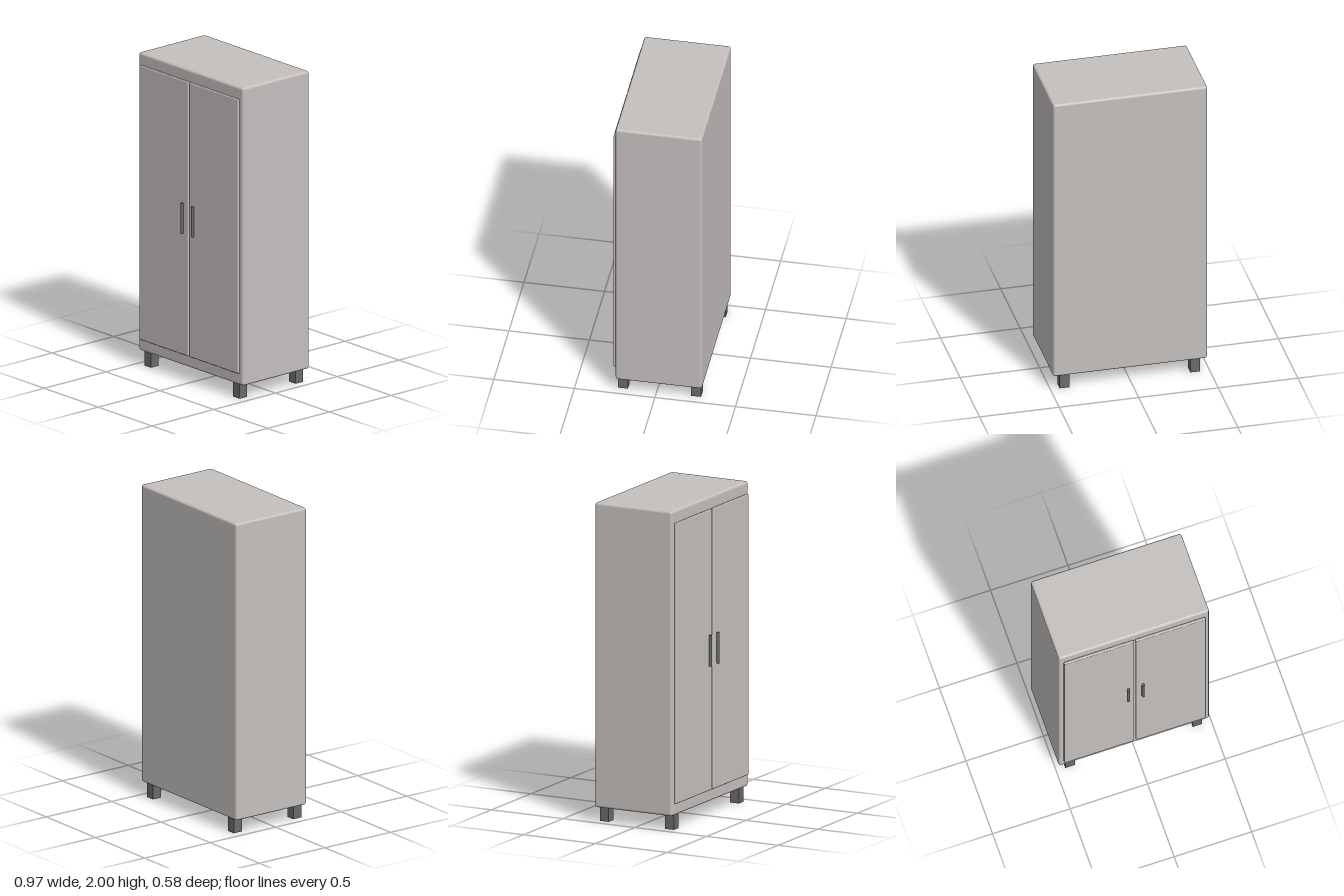
import * as THREE from 'three';
import { RoundedBoxGeometry } from 'three/addons/geometries/RoundedBoxGeometry.js';

export function createModel() {
  const group = new THREE.Group();
  const panelGrey = new THREE.MeshStandardMaterial({ color: 0xc4c0be });
  panelGrey.name = 'panelGrey';
  const darkGrey = new THREE.MeshStandardMaterial({ color: 0x6b6a69 });
  darkGrey.name = 'darkGrey';

  const add = (name, geometry, material, x, y, z) => {
    const mesh = new THREE.Mesh(geometry, material);
    mesh.name = name;
    mesh.position.set(x, y, z);
    group.add(mesh);
  };

  // Cabinet carcass with softly rounded edges
  add('cabinetBody', new RoundedBoxGeometry(0.97, 1.908, 0.537, 4, 0.015), panelGrey, 0, 1.046, -0.02);

  const door = new RoundedBoxGeometry(0.452, 1.757, 0.018, 3, 0.006);
  const handle = new THREE.CylinderGeometry(0.0095, 0.0095, 0.193, 20);
  const leg = new THREE.BoxGeometry(0.061, 0.1, 0.061);

  // Mirrored doors, handles and legs
  for (const side of [1, -1]) {
    const label = side > 0 ? 'left' : 'right';
    add(label + 'Door', door, panelGrey, side * 0.231, 1.047, 0.258);
    add(label + 'Handle', handle, darkGrey, side * 0.048, 1.047, 0.278);
    add(label + 'FrontLeg', leg, darkGrey, side * 0.411, 0.05, 0.209);
    add(label + 'BackLeg', leg, darkGrey, side * 0.411, 0.05, -0.245);
  }
  return group;
}
